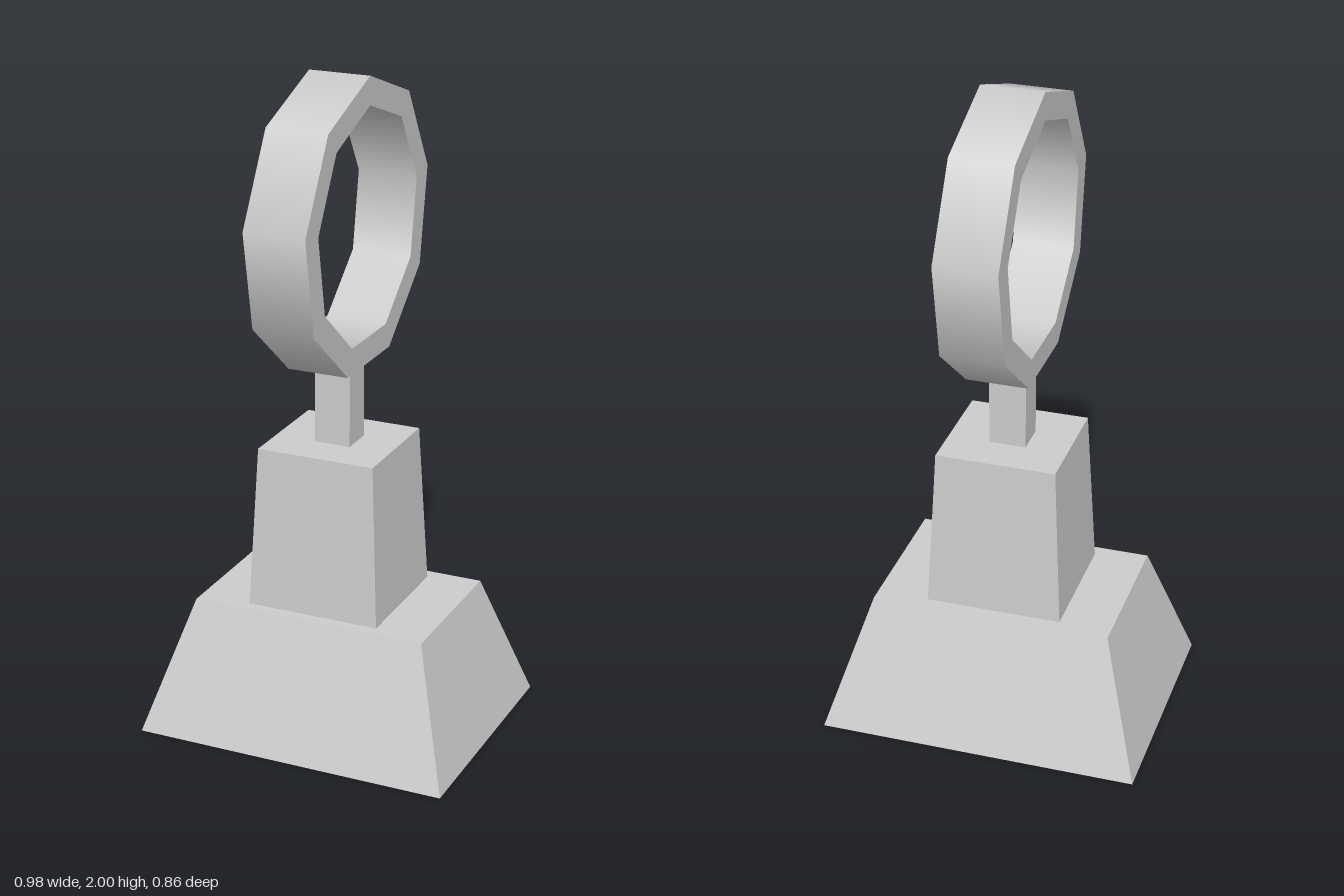
import * as THREE from 'three';
import { mergeGeometries } from 'three/addons/utils/BufferGeometryUtils.js';

const material = new THREE.MeshStandardMaterial({ color: 0xcccccc });

function addMesh(group, name, geometry) {
  const mesh = new THREE.Mesh(geometry, material);
  mesh.name = name;
  group.add(mesh);
  return mesh;
}

// Rectangular block between y0 and y1, given as half sizes [x, z] at bottom and top
function taperedBlock(y0, y1, bottom, top) {
  const geometry = new THREE.BoxGeometry(2, 2, 2);
  const p = geometry.attributes.position;
  for (let i = 0; i < p.count; i++) {
    const upper = p.getY(i) > 0;
    const [hx, hz] = upper ? top : bottom;
    p.setXYZ(i, p.getX(i) * hx, upper ? y1 : y0, p.getZ(i) * hz);
  }
  geometry.computeVertexNormals();
  return geometry;
}

// Nine-sided band around the x axis, smooth around and sharp at its rims
function ringBand(outer, inner, halfWidth) {
  const profile = [
    [outer, -halfWidth], [outer, halfWidth], [inner, halfWidth], [inner, -halfWidth],
  ].map(([r, h]) => new THREE.Vector2(r, h));
  const strips = profile.map((point, i) =>
    new THREE.LatheGeometry([point, profile[(i + 1) % 4]], 9));
  return mergeGeometries(strips).rotateX(-Math.PI / 2).rotateY(Math.PI / 2);
}

export function createModel() {
  const group = new THREE.Group();
  group.name = 'ringTrophy';

  // Stepped stand
  addMesh(group, 'base', taperedBlock(0, 0.405, [0.489, 0.378], [0.366, 0.236]));
  addMesh(group, 'pedestal', taperedBlock(0.405, 0.9, [0.207, 0.197], [0.183, 0.174]));

  // Stem, reaching slightly into the ring's flat lower side
  addMesh(group, 'stem', taperedBlock(0.9, 1.16, [0.056, 0.051], [0.056, 0.051]));

  // Ring with one corner at the top
  addMesh(group, 'ring', ringBand(0.436, 0.352, 0.094)).position.y = 1.564;

  return group;
}
